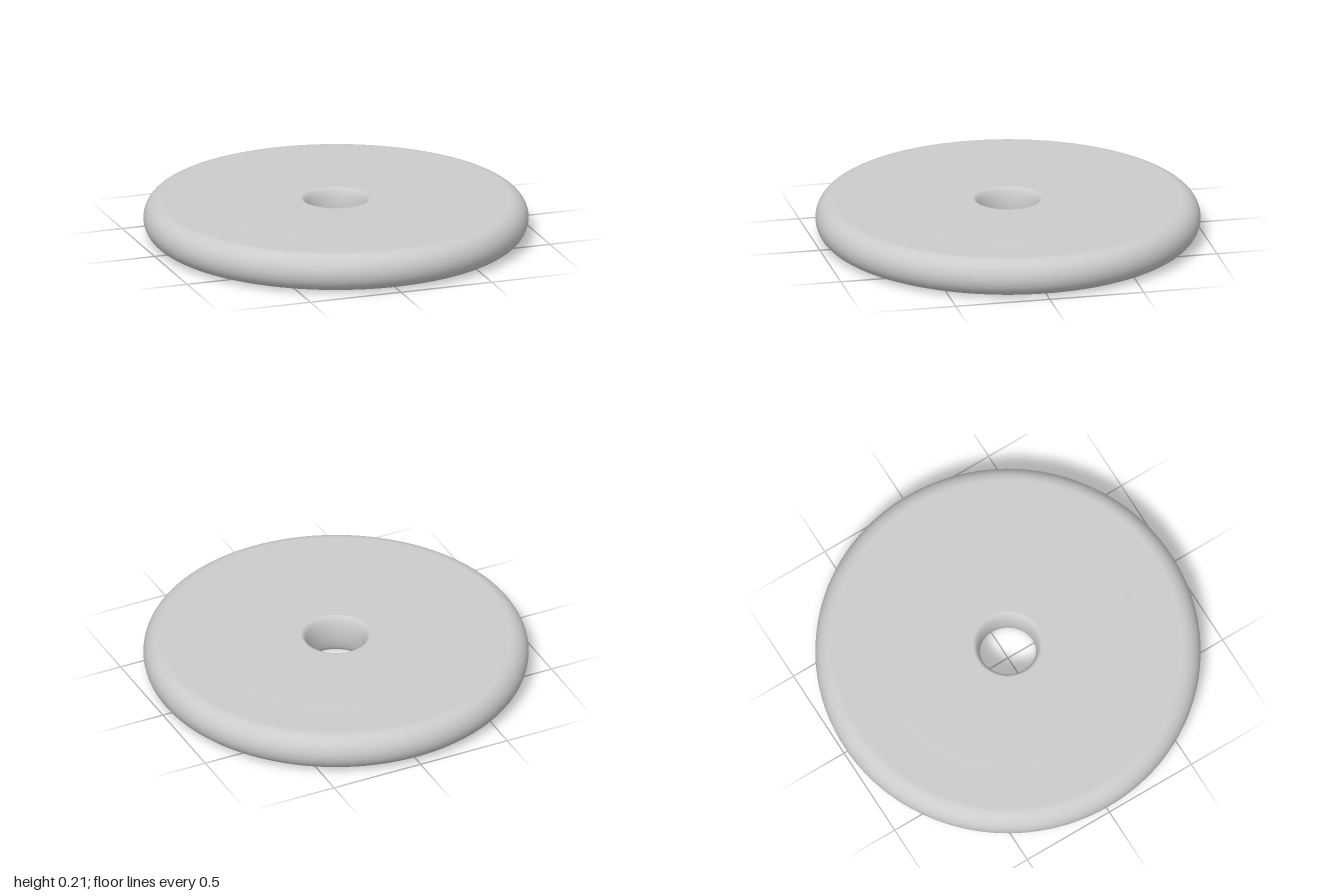
import * as THREE from 'three';

export function createModel() {
  const group = new THREE.Group();
  group.name = 'ringDisc';
  const material = new THREE.MeshStandardMaterial({ color: 0xcccccc });
  const profile = [];
  const add = (r, y) => profile.push(new THREE.Vector2(r, y));
  // Elliptical arc in the profile, angles in degrees
  const arc = (cx, cy, rx, ry, from, to, steps) => {
    for (let i = 0; i <= steps; i++) {
      const a = THREE.MathUtils.degToRad(from + (to - from) * i / steps);
      add(cx + rx * Math.cos(a), cy + ry * Math.sin(a));
    }
  };

  // Underside, with shallow turned steps
  let y = 0;
  add(0.182, y);
  for (const [r, dy] of [[0.34, 0.004], [0.4, -0.004], [0.56, 0.003], [0.77, 0.002]]) {
    add(r - 0.015, y);
    y += dy;
    add(r + 0.015, y);
  }

  // Rounded rim
  arc(0.905, 0.106, 0.095, 0.101, -90, 90, 24);

  // Top face with a slightly raised centre
  add(0.67, 0.207);
  add(0.64, 0.212);
  add(0.2, 0.212);

  // Curved wall of the centre hole
  arc(0.182, 0.106, 0.037, 0.106, 90, 270, 20);

  const disc = new THREE.Mesh(new THREE.LatheGeometry(profile, 128), material);
  disc.name = 'disc';
  group.add(disc);
  return group;
}
